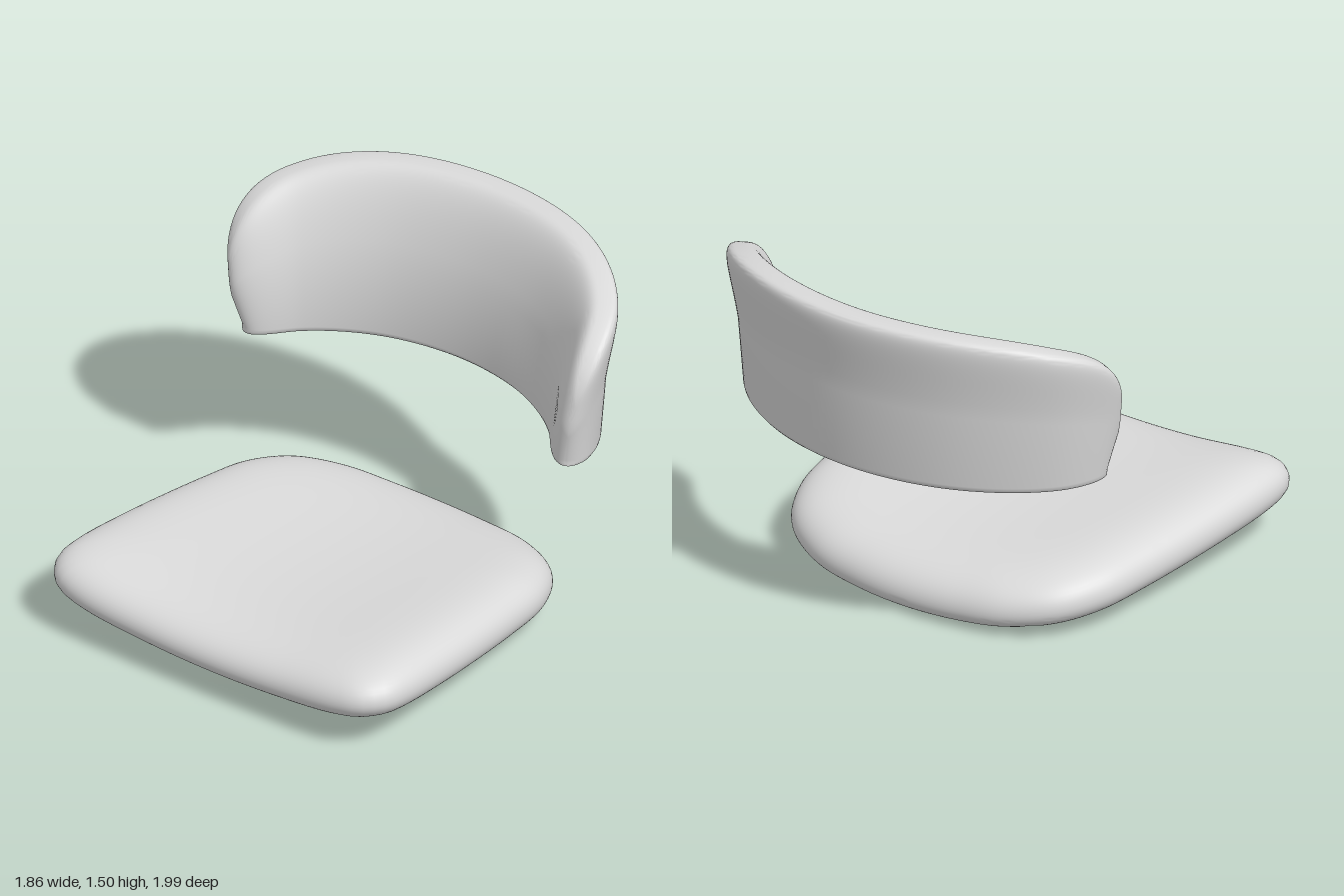
import * as THREE from 'three';
import { toCreasedNormals } from 'three/addons/utils/BufferGeometryUtils.js';

const V = (x, y, z) => new THREE.Vector3(x, y, z);

// Skin a list of equally long point rows, closing each row into a loop.
function skin(rows) {
  const n = rows[0].length, index = [];
  for (let i = 0; i < rows.length - 1; i++) {
    for (let j = 0; j < n; j++) {
      const a = i * n + j, b = i * n + (j + 1) % n, c = a + n, d = b + n;
      index.push(a, b, c, b, d, c);
    }
  }
  const g = new THREE.BufferGeometry().setFromPoints(rows.flat());
  g.setIndex(index);
  return toCreasedNormals(g, 0.8);
}

// Seat cushion: polar rings from the top centre over the rim to the bottom centre,
// with two crossing diagonal grooves underneath.
function seatGeometry() {
  const cz = 0.1;
  const half = [[0, 1], [0.35, 0.998], [0.66, 0.992], [0.78, 0.962], [0.85, 0.885], [0.87, 0.79], [0.865, 0.5],
    [0.82, 0], [0.775, -0.25], [0.67, -0.43], [0.48, -0.545], [0.25, -0.59], [0, -0.605]];
  const mirrored = half.slice(1, -1).reverse().map(([x, z]) => [-x, z]);
  const outline = new THREE.CatmullRomCurve3([...half, ...mirrored].map(([x, z]) => V(x, 0, z)), true);
  const polar = outline.getPoints(900)
    .map(p => [Math.atan2(p.z - cz, p.x), Math.hypot(p.x, p.z - cz)])
    .sort((a, b) => a[0] - b[0]);
  const radius = angle => {
    const t = Math.atan2(Math.sin(angle), Math.cos(angle));
    const i = polar.findIndex(p => p[0] >= t);
    if (i <= 0) return polar[0][1];
    const [a, b] = [polar[i - 1], polar[i]];
    return a[1] + (b[1] - a[1]) * (t - a[0]) / (b[0] - a[0] || 1);
  };

  // Saddle-shaped top and bottom, meeting at a rim set below mid height.
  const topY = (x, z) => 0.273 + 0.065 * z + 0.13 * x * x;
  const bottomY = (x, z) => 0.024 + 0.055 * z + 0.015 * z * z + 0.09 * x * x;
  const surface = (angle, t, bottom, lift) => {
    const r = t * radius(angle), x = r * Math.cos(angle), z = cz + r * Math.sin(angle);
    const hi = topY(x, z), lo = bottomY(x, z), rim = lo + 0.36 * (hi - lo);
    const roll = Math.sqrt(Math.max(0, 1 - Math.pow(t, bottom ? 14 : 6)));
    return V(x, rim + ((bottom ? lo : hi) - rim) * roll + lift, z);
  };

  // Half angle of a groove at ring t; it narrows to a round tip.
  const grooveEnd = [0.79, 0.79, 0.97, 0.97];
  const grooveAngle = (k, t) => {
    const past = Math.max(0, (t - grooveEnd[k] + 0.05) / 0.05);
    const w = 0.05 * Math.sqrt(Math.max(0, 1 - past * past));
    const r = t * radius(Math.PI * (k / 2 + 0.25));
    return Math.asin(Math.min(Math.SQRT1_2, w / Math.max(r, 1e-4)));
  };
  const ring = (t, bottom) => {
    const row = [];
    for (let k = 0; k < 4; k++) {
      const mid = Math.PI * (k / 2 + 0.25), next = (k + 1) % 4;
      const a = bottom ? grooveAngle(k, t) : 0, b = bottom ? grooveAngle(next, t) : 0;
      for (const o of [-1, -0.5, 0, 0.5, 1]) row.push(surface(mid + o * a, t, bottom, a > 0 ? 0.03 : 0));
      for (let j = 0; j <= 40; j++) {
        row.push(surface(mid + a + (Math.PI / 2 - a - b) * j / 40, t, bottom, 0));
      }
    }
    return row;
  };

  const rows = [];
  for (let i = 0; i <= 28; i++) rows.push(ring(Math.sin(Math.PI / 2 * i / 28), false));
  for (let i = 47; i >= 0; i--) rows.push(ring(1 - Math.pow(1 - i / 48, 1.7), true));
  return skin(rows);
}

// Back cushion: a leaning, round-topped section swept along an arc, hollow from below.
function backGeometry() {
  const path = new THREE.CatmullRomCurve3([[-0.855, -0.275], [-0.705, -0.53], [-0.4, -0.73], [0, -0.805],
    [0.4, -0.73], [0.705, -0.53], [0.855, -0.275]].map(([x, z]) => V(x, 0, z)));
  const base = 0.81, rows = [];

  // Section loop as [side, height fraction, extra height]
  const section = [];
  for (let j = 0; j <= 40; j++) {
    const a = Math.PI * j / 40, c = Math.cos(a), s = Math.max(0, Math.sin(a));
    section.push([Math.sign(c) * Math.sqrt(Math.abs(c)), Math.pow(s, j % 40 ? 0.3 : 1), 0]);
  }
  const lip = [[0.97, 0, -0.014], [0.9, 0, -0.024], [0.8, 0, -0.028], [0.65, 0, -0.02], [0.62, 0, 0.11]];
  section.push(...lip.map(([s, h, e]) => [-s, h, e]), ...lip.reverse());

  const N = 90;
  for (let i = 0; i <= N; i++) {
    const u = Math.sin(Math.PI * (i / N - 0.5));
    const p = path.getPointAt((u + 1) / 2), d = path.getTangentAt((u + 1) / 2);
    const out = V(d.z, 0, -d.x);
    const height = 0.28 + 0.41 * Math.sqrt(Math.max(0, 1 - Math.pow(Math.abs(u), 3.5)));
    const end = Math.sqrt(Math.max(0, 1 - Math.pow(u, 10))) * (1 - 0.22 * u * u);
    rows.push(section.map(([side, h, extra]) => {
      const rise = h * height;
      const lean = 0.27 * rise * rise + 0.06 * u * u * rise;
      const thick = (0.125 - 0.04 * rise) * end;
      // Round the lower end corners and keep the hollow inside them.
      const low = Math.max(0, 1 - rise / 0.22);
      const pull = Math.pow(u, 8) * (0.05 * low * low + (extra > 0 ? 0.06 : 0));
      const q = p.clone().addScaledVector(out, lean + side * thick)
        .addScaledVector(d, -Math.sign(u) * pull);
      q.y = base + rise + extra;
      return q;
    }));
  }
  return skin(rows);
}

export function createModel() {
  const group = new THREE.Group();
  const upholstery = new THREE.MeshStandardMaterial({ color: 0xdadada, side: THREE.DoubleSide });
  upholstery.name = 'light grey upholstery';

  const seat = new THREE.Mesh(seatGeometry(), upholstery);
  seat.name = 'seatCushion';
  const back = new THREE.Mesh(backGeometry(), upholstery);
  back.name = 'backCushion';
  group.add(seat, back);
  return group;
}
